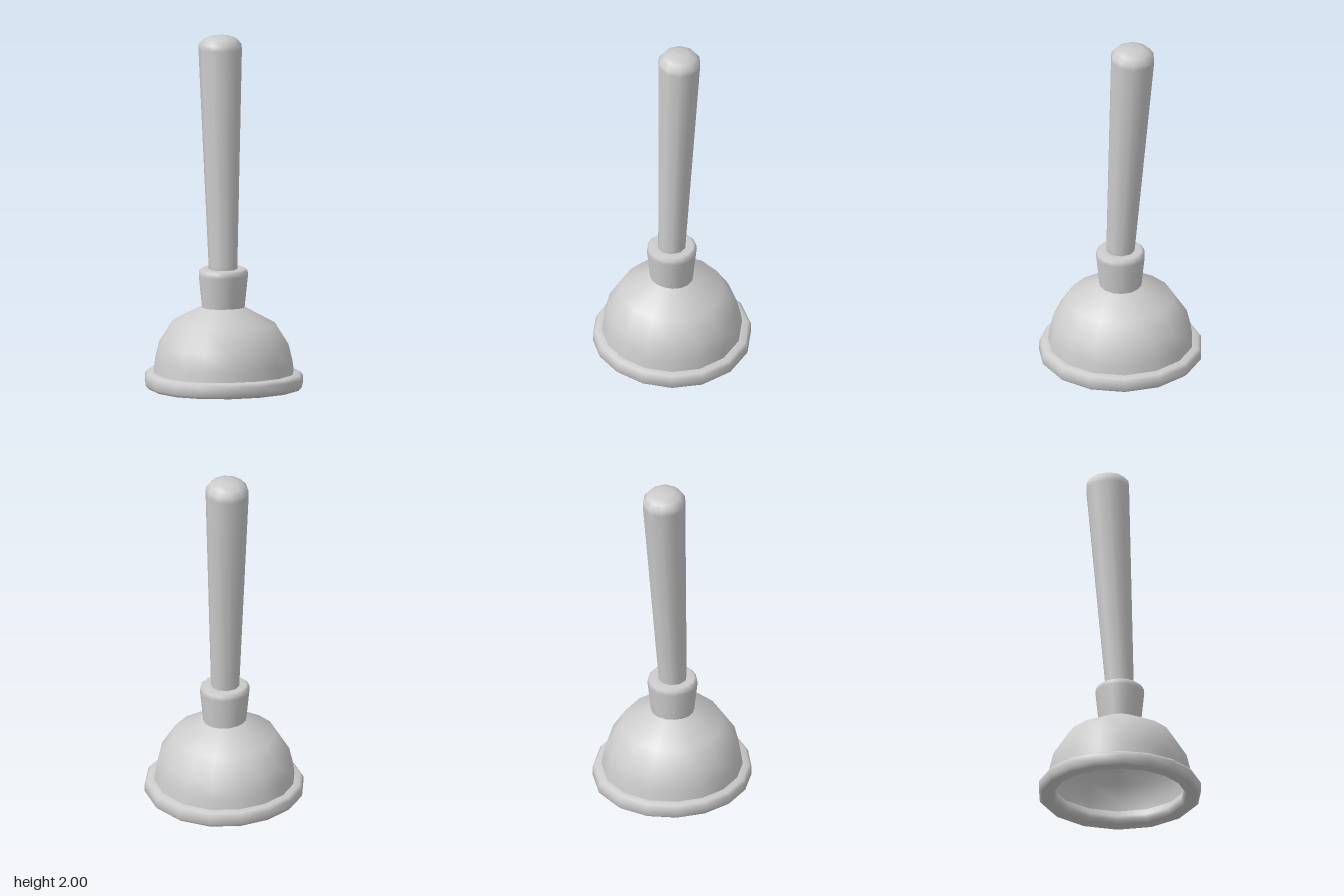
import * as THREE from 'three';

const material = new THREE.MeshStandardMaterial({ color: 0xcccccc, side: THREE.DoubleSide });

// Turned part from [radius, height] pairs, starting with a corner on the x axis
function turned(name, profile, sides) {
  const points = profile.map(([r, y]) => new THREE.Vector2(r, y));
  const mesh = new THREE.Mesh(new THREE.LatheGeometry(points, sides, Math.PI / 2), material);
  mesh.name = name;
  return mesh;
}

// Soft rubber irregularity: corners drift toward -x, slightly oval, sides sag and tilt
function soften(mesh, oval, tilt) {
  const p = mesh.geometry.attributes.position;
  for (let i = 0; i < p.count; i++) {
    const r = Math.hypot(p.getX(i), p.getZ(i));
    const a = Math.atan2(p.getZ(i), p.getX(i));
    const b = a + 0.085 * Math.sin(a);
    const x = r * oval * Math.cos(b);
    const z = r * Math.sin(b) * (1 + 0.055 * Math.cos(b));
    p.setXYZ(i, x, p.getY(i) - 0.06 * x * x - tilt * x, z);
  }
  return mesh;
}

export function createModel() {
  const group = new THREE.Group();
  group.name = 'plunger';

  // Rubber cup: outer dome, thick rolled rim and thin-walled hollow inside
  const dome = turned('dome', [
    [0.41, 0.085], [0.4, 0.16], [0.377, 0.255], [0.297, 0.378], [0.12, 0.467],
  ], 16);
  const rim = turned('rim', [
    [0.38, 0.1], [0.362, 0.06], [0.362, 0.035], [0.378, 0.016], [0.44, 0.016], [0.459, 0.035],
    [0.459, 0.08], [0.443, 0.099], [0.405, 0.103],
  ], 16);
  const cavity = turned('cavity', [
    [0, 0.445], [0.11, 0.44], [0.275, 0.358], [0.352, 0.245], [0.376, 0.16], [0.38, 0.1],
  ], 16);

  // Flared collar that grips the handle
  const collar = turned('collar', [
    [0.119, 0.458], [0.138, 0.645], [0.135, 0.67], [0.12, 0.683], [0.07, 0.68],
  ], 16);
  group.add(
    soften(dome, 0.965, 0.02),
    soften(rim, 0.967, 0.008),
    soften(cavity, 0.965, 0.02),
    soften(collar, 1.02, 0),
  );

  // Tapered wooden handle with a rounded end, leaning back and to the left
  const handle = turned('handle', [
    [0, -0.13], [0.076, -0.13], [0.08, 0.02], [0.121, 1.24], [0.119, 1.27],
    [0.095, 1.3], [0.055, 1.315], [0, 1.32],
  ], 10);
  handle.scale.z = 1.03;
  handle.position.y = 0.68;
  handle.rotation.set(-0.054, 0, -0.019);
  group.add(handle);
  return group;
}
